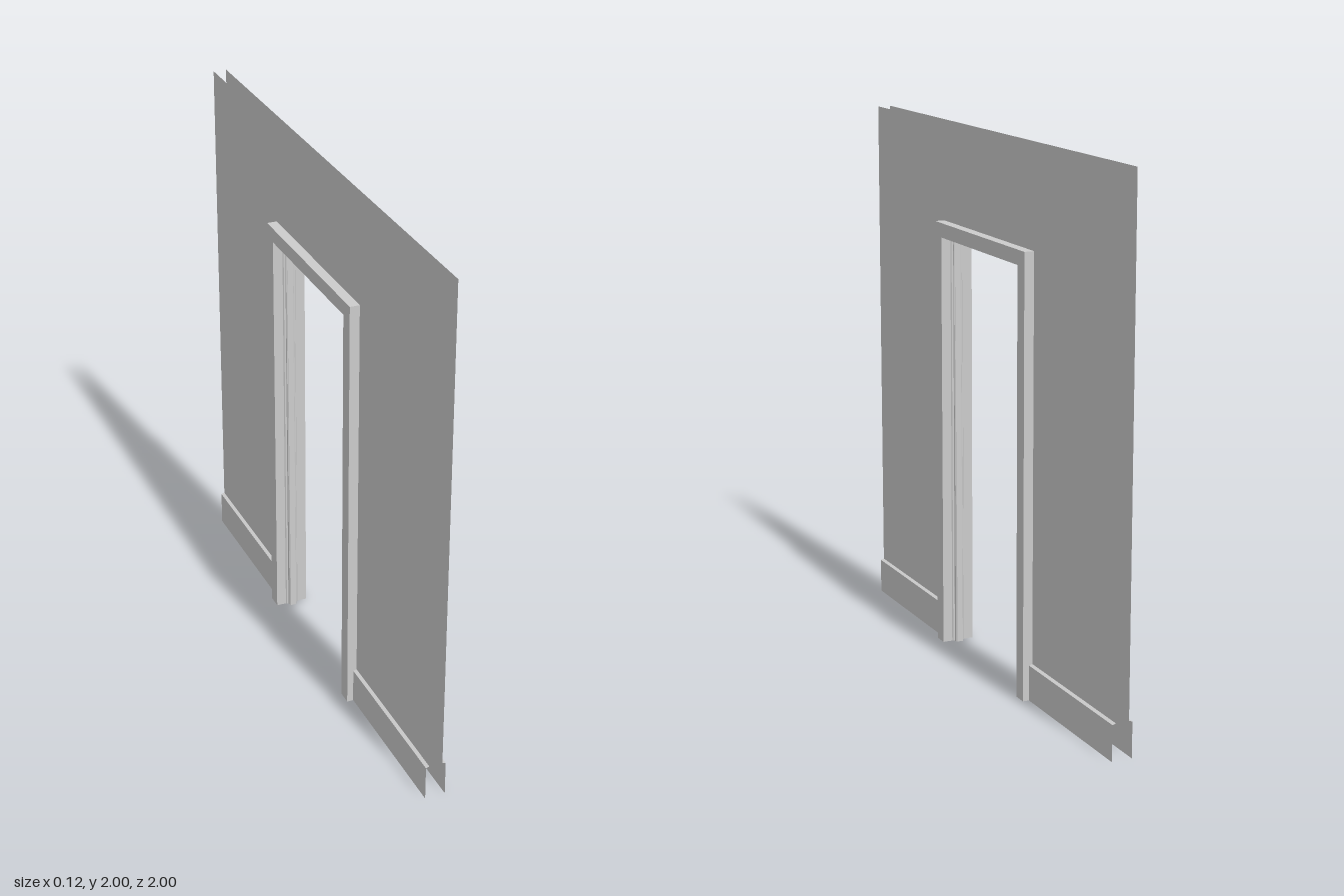
import * as THREE from 'three';

const IN_Z = 0.32, IN_Y = 1.583;      // clear opening: half width and height
const WALL_X = 0.025, CASING_X = 0.062, CASING_W = 0.054;
const SKIRT_X = 0.038, SKIRT_Y = 0.137;

const material = new THREE.MeshStandardMaterial({ color: 0xcccccc, flatShading: true, side: THREE.DoubleSide });

function mesh(name, geometry) {
  const m = new THREE.Mesh(geometry, material);
  m.name = name;
  return m;
}

// Joins rows of points (cross-sections) with quads
function loft(rows) {
  const pos = [];
  for (let i = 0; i < rows.length - 1; i++) {
    for (let j = 0; j < rows[i].length - 1; j++) {
      const a = rows[i][j], b = rows[i][j + 1], c = rows[i + 1][j + 1], d = rows[i + 1][j];
      pos.push(...a, ...c, ...b, ...a, ...d, ...c);
    }
  }
  const g = new THREE.BufferGeometry();
  g.setAttribute('position', new THREE.Float32BufferAttribute(pos, 3));
  g.computeVertexNormals();
  return g;
}

// Sweeps a profile of [x, inset, extra inset at the floor] around the doorway
function sweepDoorway(profile) {
  const foot = s => profile.map(([x, d, lean = 0]) => [x, 0, s * (IN_Z - d - lean)]);
  const head = s => profile.map(([x, d]) => [x, IN_Y - d, s * (IN_Z - d)]);
  return loft([foot(1), head(1), head(-1), foot(-1)]);
}

// Wall sheet with the doorway cut out; its lower edge ends at the skirting
function wallSheet(side) {
  const s = new THREE.Shape();
  const points = [
    [-1, SKIRT_Y], [-1, 2], [1, 2], [1, SKIRT_Y], [IN_Z + CASING_W, SKIRT_Y], [IN_Z + CASING_W, 0],
    [IN_Z, 0], [IN_Z, IN_Y], [-IN_Z, IN_Y], [-IN_Z, 0], [-IN_Z - CASING_W, 0], [-IN_Z - CASING_W, SKIRT_Y],
  ];
  s.setFromPoints(points.map(p => new THREE.Vector2(...p)));
  const g = new THREE.ShapeGeometry(s);
  g.rotateY(side * Math.PI / 2);
  g.translate(side * WALL_X, 0, 0);
  return g;
}

export function createModel() {
  const group = new THREE.Group();
  group.name = 'doorwayWall';

  for (const side of [1, -1]) {
    const label = side > 0 ? 'left' : 'right';
    group.add(mesh(label + 'WallSheet', wallSheet(side)));

    // Casing: raised square trim around the opening
    group.add(mesh(label + 'Casing', sweepDoorway([
      [side * WALL_X, -CASING_W], [side * CASING_X, -CASING_W],
      [side * CASING_X, 0], [side * WALL_X, 0],
    ])));

    // Skirting boards with a small lip back to the wall
    for (const end of [1, -1]) {
      const row = z => [[WALL_X, SKIRT_Y], [SKIRT_X, SKIRT_Y - 0.004], [SKIRT_X, 0]]
        .map(([x, y]) => [side * x, y, end * z]);
      group.add(mesh(label + (end > 0 ? 'Front' : 'Back') + 'Skirting',
        loft([row(IN_Z + CASING_W), row(1)])));
    }
  }

  // Jamb lining with the raised door stop, leaning slightly inward at the floor
  const half = [[WALL_X, 0], [0.022, 0.004], [0.016, 0.005], [0.015, 0.008, 0.007], [0.011, 0.01, 0.01]];
  const mirrored = half.map(([x, d, lean]) => [-x, d, lean]).reverse();
  group.add(mesh('jambAndStop', sweepDoorway([...half, ...mirrored])));

  return group;
}
